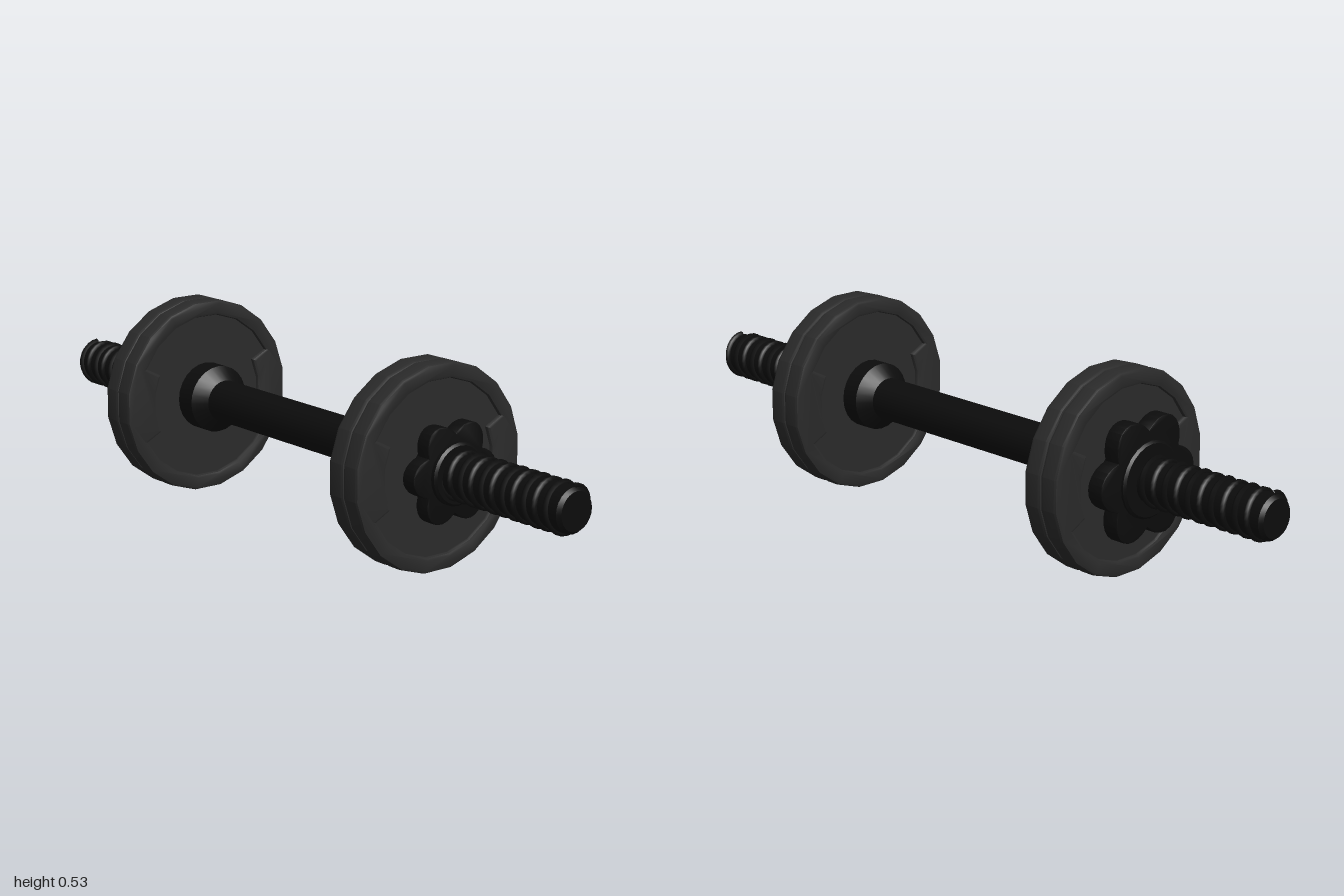
import * as THREE from 'three';
import { toCreasedNormals } from 'three/addons/utils/BufferGeometryUtils.js';

const AXIS_Y = 0.262;
const black = new THREE.MeshStandardMaterial({ color: 0x0c0c0c });
const iron = new THREE.MeshStandardMaterial({ color: 0x2a2a2a });

function add(parent, name, geometry, material, x = 0) {
  const mesh = new THREE.Mesh(geometry, material);
  mesh.name = name;
  mesh.position.x = x;
  parent.add(mesh);
  return mesh;
}

// Solid of revolution about the x axis from [x, radius] pairs, x increasing
function turned(profile, sides = 24) {
  const geo = new THREE.LatheGeometry(profile.map(([x, r]) => new THREE.Vector2(r, x)), sides);
  return toCreasedNormals(geo.rotateZ(-Math.PI / 2), 0.5);
}

// Extrusion along x, centred on x = 0, bevelled inwards
function extrudedAlongX(shape, thickness, bevel) {
  const depth = thickness - 2 * bevel;
  const geo = new THREE.ExtrudeGeometry(shape, {
    depth, bevelEnabled: true, bevelThickness: bevel, bevelSize: bevel,
    bevelOffset: -bevel, bevelSegments: 2,
  });
  return toCreasedNormals(geo.translate(0, 0, -depth / 2).rotateY(Math.PI / 2), 0.45);
}

const polar = (r, degrees) => {
  const a = THREE.MathUtils.degToRad(degrees);
  return new THREE.Vector2(r * Math.cos(a), r * Math.sin(a));
};

// Twenty-sided rim whose opening steps inward at the two grip tabs
function rimShape() {
  const outer = [], opening = [];
  for (let a = 9; a < 360; a += 18) outer.push(polar(0.267, a));
  for (const turn of [0, 180]) {
    for (let a = -27; a <= 27; a += 18) opening.push(polar(0.175, a + turn));
    for (let a = 27; a <= 153; a += 18) opening.push(polar(0.225, a + turn));
  }
  const shape = new THREE.Shape(outer);
  shape.holes.push(new THREE.Path(opening.reverse()));
  return shape;
}

// Six rounded lobes with sharp valleys between them
function starShape(scale) {
  const points = [];
  for (let a = 0; a < 360; a += 6) {
    const lobe = Math.abs(Math.cos(THREE.MathUtils.degToRad(3 * a)));
    points.push(polar(scale * (0.1 + 0.035 * lobe), a));
  }
  return new THREE.Shape(points);
}

class Helix extends THREE.Curve {
  constructor(start, length, turns, radius) {
    super();
    Object.assign(this, { start, length, turns, radius });
  }
  getPoint(t, target = new THREE.Vector3()) {
    const a = t * this.turns * Math.PI * 2;
    return target.set(this.start + t * this.length, this.radius * Math.cos(a), this.radius * Math.sin(a));
  }
  getLength() { return Math.hypot(this.length, this.turns * Math.PI * 2 * this.radius); }
  getPointAt(t, target) { return this.getPoint(t, target); }
  getTangentAt(t, target) { return this.getTangent(t, target); }
}

function createPlate(name, x) {
  const plate = new THREE.Group();
  plate.name = name;
  plate.position.x = x;
  // two bevelled rims leave a groove around the middle
  const rim = extrudedAlongX(rimShape(), 0.054, 0.008);
  for (const side of [-1, 1]) add(plate, 'plateRim', rim, iron, side * 0.027);
  const web = turned([[-0.044, 0], [-0.044, 0.24], [0.044, 0.24], [0.044, 0]], 20);
  add(plate, 'plateWeb', web.rotateX(Math.PI / 20), iron);
  return plate;
}

// Hub and star grip of a locking nut
function createNut(name, x, scale, thickness, hubStart, hubEnd) {
  const nut = new THREE.Group();
  nut.name = name;
  add(nut, 'nutGrip', extrudedAlongX(starShape(scale), thickness, 0.003), black, x);
  const r = 0.08 * scale;
  add(nut, 'nutHub', turned([[hubStart, 0], [hubStart, r - 0.006], [hubStart + 0.006, r],
    [hubEnd - 0.006, r], [hubEnd, r - 0.006], [hubEnd, 0]]), black);
  return nut;
}

export function createModel() {
  const model = new THREE.Group();
  model.name = 'dumbbell';
  const body = new THREE.Group();
  body.name = 'dumbbellBody';
  body.position.y = AXIS_Y;
  model.add(body);

  // Bar with chamfered ends
  add(body, 'bar', turned([[-1, 0], [-1, 0.049], [-0.99, 0.057], [0.99, 0.057], [1, 0.049], [1, 0]]), black);

  // Screw threads on both ends
  for (const [name, start] of [['rightThread', -0.985], ['leftThread', 0.585]]) {
    const helix = new Helix(start, 0.4, 11, 0.0585);
    add(body, name, new THREE.TubeGeometry(helix, 264, 0.008, 5), black);
  }

  // Tapered stop collars against the inner plate faces
  add(body, 'rightCollar', turned([[-0.47, 0], [-0.47, 0.092], [-0.385, 0.092], [-0.355, 0.057], [-0.355, 0]]), black);
  add(body, 'leftCollar', turned([[0.35, 0], [0.35, 0.057], [0.38, 0.092], [0.46, 0.092], [0.46, 0]]), black);

  body.add(createPlate('rightPlate', -0.487));
  body.add(createPlate('leftPlate', 0.475));

  body.add(createNut('rightNut', -0.577, 1.25, 0.046, -0.612, -0.5));
  body.add(createNut('leftNut', 0.565, 1, 0.042, 0.49, 0.602));
  return model;
}
